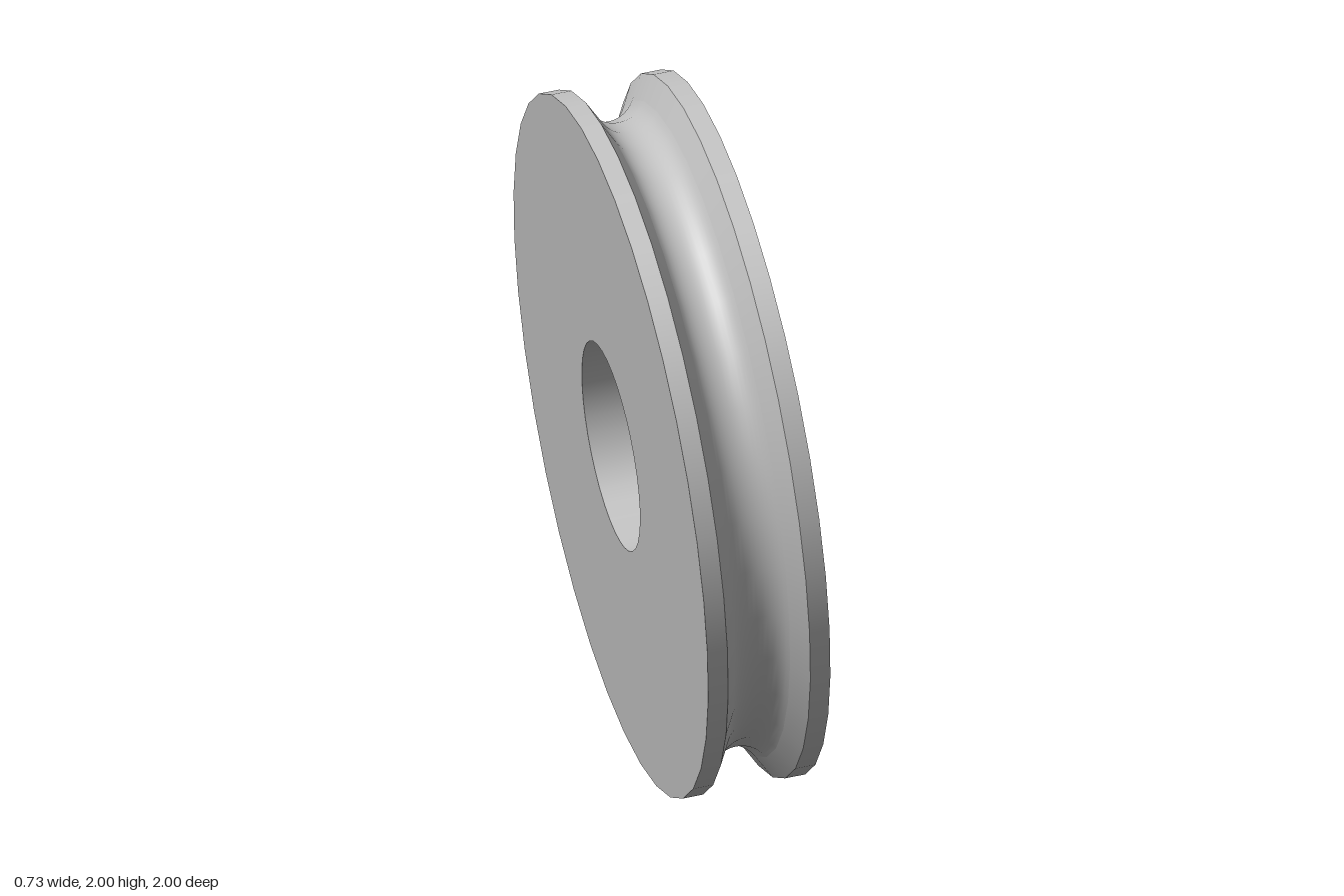
import * as THREE from 'three';

// Grooved pulley wheel with a counterbored hub, axle tilted away from x.
export function createModel() {
  const group = new THREE.Group();
  group.name = 'pulleyWheel';
  const metal = new THREE.MeshStandardMaterial({ color: 0xc0c0c0 });
  metal.name = 'plain grey';

  const wheel = new THREE.Group();
  wheel.name = 'wheel';
  const half = 0.174, R = 0.987, bore = 0.295, recess = 0.59;
  const floor = half - 0.2;                 // recess floor along the axle
  const lip = 0.117;                        // inner edge of each rim
  const arcR = 0.09, grooveR = 0.875;       // rounded groove bottom
  const swing = Math.PI / 3;

  // each span is revolved alone, so edges between spans stay sharp
  const revolve = (name, points) => {
    const profile = points.map(([r, y]) => new THREE.Vector2(r, y));
    const mesh = new THREE.Mesh(new THREE.LatheGeometry(profile, 36), metal);
    mesh.name = name;
    wheel.add(mesh);
  };

  const arc = [];
  for (let i = 0; i <= 14; i++) {
    const a = -swing + (2 * swing * i) / 14;
    arc.push([grooveR + arcR * (1 - Math.cos(a)), arcR * Math.sin(a)]);
  }

  // outside, from the plain face to the recessed face
  revolve('plainRim', [[R, -half], [R, -lip]]);
  revolve('plainGrooveWall', [[R, -lip], arc[0]]);
  revolve('grooveBottom', arc);
  revolve('recessedGrooveWall', [arc[14], [R, lip]]);
  revolve('recessedRim', [[R, lip], [R, half]]);
  // recessed side, bore and plain side
  revolve('recessedFace', [[R, half], [recess, half]]);
  revolve('recessWall', [[recess, half], [recess, floor]]);
  revolve('recessFloor', [[recess, floor], [bore, floor]]);
  revolve('boreWall', [[bore, floor], [bore, -half]]);
  revolve('plainFace', [[bore, -half], [R, -half]]);

  // tilt the axle and lift the wheel onto the ground
  const axle = new THREE.Vector3(0.981, 0.138, -0.138).normalize();
  wheel.quaternion.setFromUnitVectors(new THREE.Vector3(0, 1, 0), axle);
  wheel.position.y = 1;
  group.add(wheel);
  return group;
}
